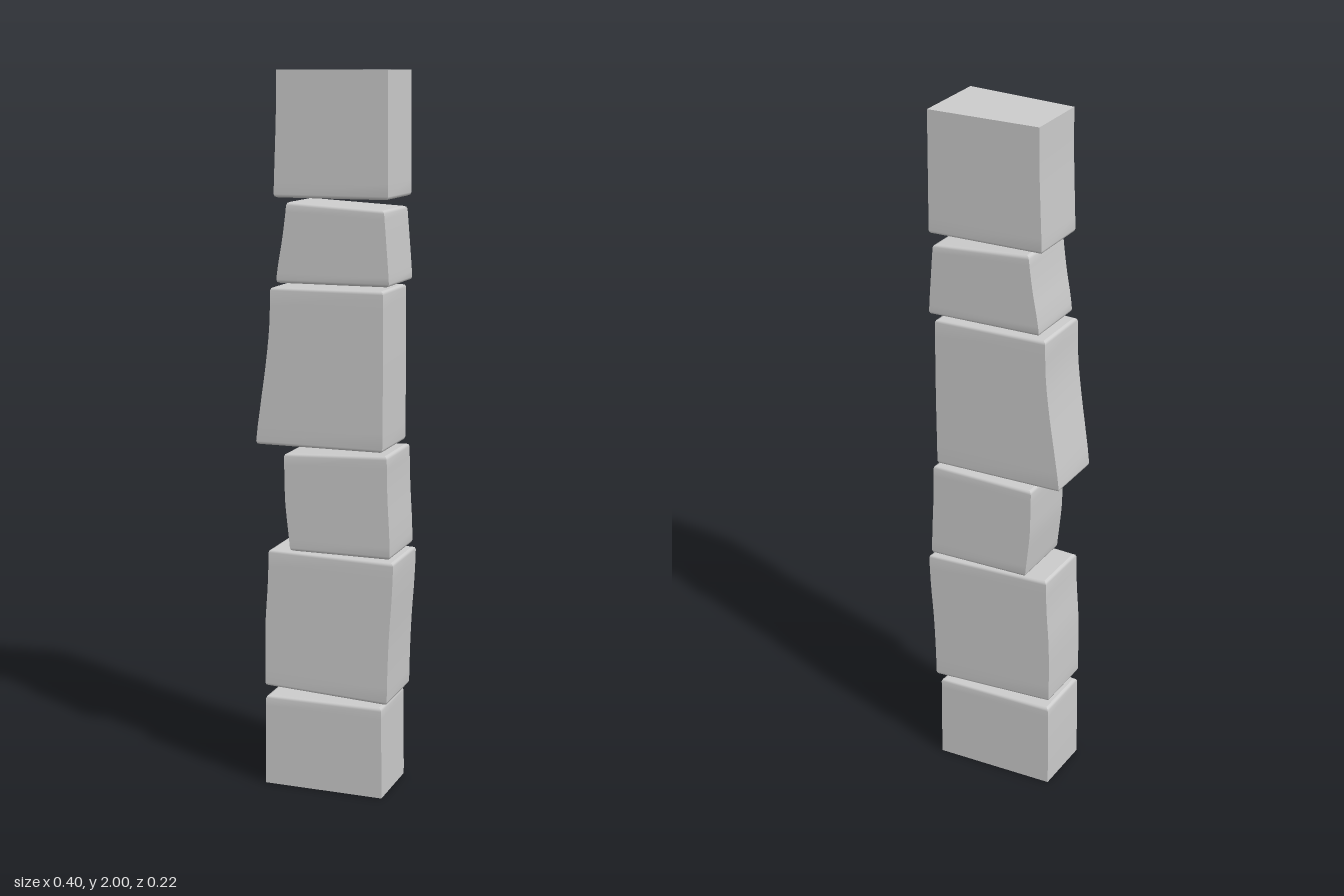
import * as THREE from 'three';

const material = new THREE.MeshStandardMaterial({ color: 0xcccccc, side: THREE.DoubleSide });
const BEVEL = 0.009;

// Each block: corner heights [left, right] and side profiles listed from bottom to top.
const blocks = [
  { name: 'footBlock', bottom: [0, 0], top: [0.26, 0.26], left: [-0.18, -0.18, -0.178], right: [0.17, 0.169, 0.168], openBottom: true },
  { name: 'lowerBlock', bottom: [0.287, 0.271], top: [0.684, 0.676], left: [-0.18, -0.18, -0.178, -0.171, -0.168], right: [0.184, 0.186, 0.19, 0.197, 0.201] },
  { name: 'smallLowerBlock', bottom: [0.685, 0.685], top: [0.96, 0.971], left: [-0.103, -0.11, -0.117, -0.119, -0.12], right: [0.191, 0.189, 0.185, 0.182, 0.181] },
  { name: 'tallBlock', bottom: [0.98, 0.98], top: [1.418, 1.418], left: [-0.204, -0.19, -0.174, -0.162, -0.159], right: [0.168, 0.169, 0.168] },
  { name: 'smallUpperBlock', bottom: [1.43, 1.43], top: [1.65, 1.633], left: [-0.141, -0.134, -0.124, -0.116, -0.11], right: [0.185, 0.182, 0.178, 0.174, 0.17] },
  { name: 'topBlock', bottom: [1.661, 1.661], top: [2, 2], left: [-0.147, -0.143, -0.139, -0.138], right: [0.181, 0.18, 0.179], flatTop: true },
];

// Smooth side profile through evenly spaced x values
function profile(xs) {
  const curve = new THREE.SplineCurve(xs.map((x, i) => new THREE.Vector2(x, i / (xs.length - 1))));
  return (t) => curve.getPoint(t).x;
}

// The column is slightly wedge-shaped: deeper towards +x
const halfDepth = (x) => 0.0995 + 0.053 * x;

function blockGeometry(b) {
  const left = profile(b.left), right = profile(b.right);
  const height = b.top[0] - b.bottom[0];

  // Levels up the block: t along the height, inset at the softened ends
  const levels = [];
  const arc = [0, 0.5, 1].map((s) => s * Math.PI / 2);
  if (b.openBottom) levels.push([0, 0]);
  else arc.forEach((a) => levels.push([BEVEL * (1 - Math.sin(a)) / height, BEVEL * (1 - Math.cos(Math.PI / 2 - a))]));
  if (!b.openBottom) levels.forEach((l, i) => { l[0] = BEVEL * (1 - Math.cos(arc[i])) / height; });
  for (let i = 1; i < 10; i++) levels.push([0.03 + 0.94 * i / 10, 0]);
  if (b.flatTop) levels.push([1, 0]);
  else arc.forEach((a) => levels.push([1 - BEVEL * (1 - Math.sin(a)) / height, BEVEL * (1 - Math.cos(a))]));

  // Four corners per level, anticlockwise seen from the front edge
  const rings = levels.map(([t, inset]) => {
    const xl = left(t) + inset, xr = right(t) - inset;
    const yl = THREE.MathUtils.lerp(b.bottom[0], b.top[0], t);
    const yr = THREE.MathUtils.lerp(b.bottom[1], b.top[1], t);
    const zl = halfDepth(xl) - inset, zr = halfDepth(xr) - inset;
    return [[xl, yl, zl], [xr, yr, zr], [xr, yr, -zr], [xl, yl, -zl]];
  });

  const positions = [], indices = [];
  // Sides have their own vertices so vertical edges stay sharp
  for (let s = 0; s < 4; s++) {
    const base = positions.length / 3;
    rings.forEach((r) => positions.push(...r[s], ...r[(s + 1) % 4]));
    for (let i = 0; i < rings.length - 1; i++) {
      const k = base + i * 2;
      indices.push(k, k + 1, k + 3, k, k + 3, k + 2);
    }
  }
  // End faces
  const cap = (corners) => {
    const k = positions.length / 3;
    positions.push(...corners.flat());
    indices.push(k, k + 1, k + 2, k, k + 2, k + 3);
  };
  cap(rings[rings.length - 1]);
  if (!b.openBottom) cap([...rings[0]].reverse());

  const geometry = new THREE.BufferGeometry();
  geometry.setAttribute('position', new THREE.Float32BufferAttribute(positions, 3));
  geometry.setIndex(indices);
  geometry.computeVertexNormals();
  return geometry;
}

export function createModel() {
  const column = new THREE.Group();
  column.name = 'stoneColumn';
  for (const b of blocks) {
    const mesh = new THREE.Mesh(blockGeometry(b), material);
    mesh.name = b.name;
    column.add(mesh);
  }
  return column;
}
